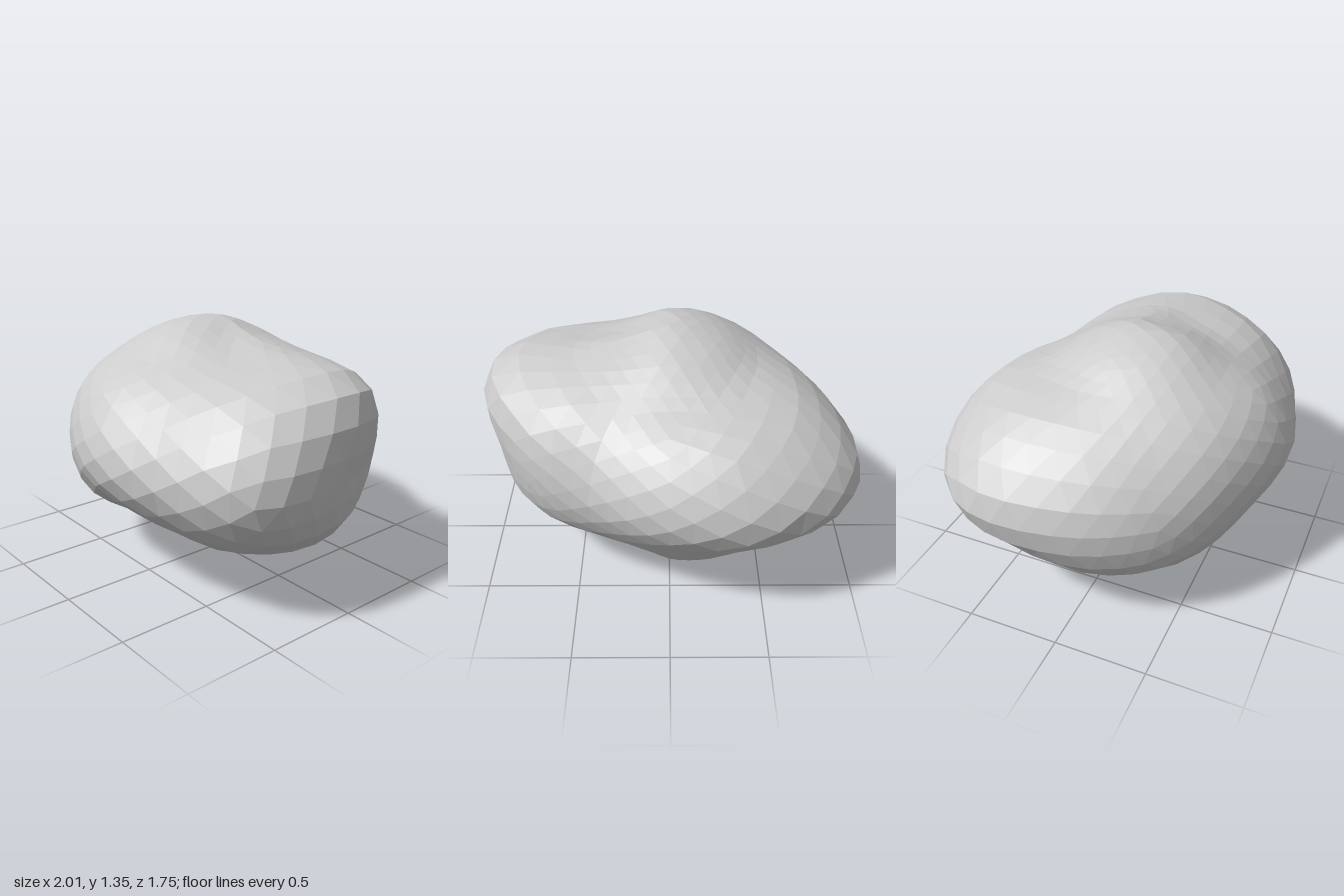
import * as THREE from 'three';

// Distance from the rock's core to its surface. Rows climb in 22.5 degree steps
// from straight down to straight up; columns turn in 30 degree steps from +x to +z.
const RADII = [
  [0.66],
  [0.55, 0.54, 0.55, 0.57, 0.60, 0.65, 0.68, 0.725, 0.745, 0.725, 0.66, 0.58],
  [0.62, 0.60, 0.57, 0.58, 0.62, 0.68, 0.71, 0.74, 0.74, 0.70, 0.63, 0.60],
  [0.91, 0.91, 0.77, 0.71, 0.79, 0.86, 0.89, 0.86, 0.80, 0.73, 0.71, 0.80],
  [0.955, 1.10, 0.93, 0.865, 0.82, 0.87, 0.97, 1.08, 0.98, 0.835, 0.76, 0.86],
  [1.03, 0.97, 0.82, 0.82, 0.80, 0.77, 0.82, 0.89, 0.85, 0.76, 0.71, 0.88],
  [0.735, 0.69, 0.68, 0.70, 0.71, 0.69, 0.67, 0.66, 0.64, 0.61, 0.62, 0.69],
  [0.63, 0.62, 0.645, 0.675, 0.675, 0.66, 0.645, 0.63, 0.615, 0.61, 0.61, 0.61],
  [0.65],
];
const CORE_HEIGHT = 0.7;

function spline(a, b, c, d, t) {
  return b + 0.5 * t * (c - a + t * (2 * a - 5 * b + 4 * c - d + t * (3 * (b - c) + d - a)));
}

// Radius on one row; rows past a pole continue down the opposite side
function rowRadius(row, turn) {
  if (row < 0) return rowRadius(-row, turn + 6);
  if (row > 8) return rowRadius(16 - row, turn + 6);
  const r = RADII[row], n = r.length;
  const i = Math.floor(turn), at = (k) => r[(((i + k) % n) + n) % n];
  return spline(at(-1), at(0), at(1), at(2), turn - i);
}

function radius(dir) {
  const turn = Math.atan2(dir.z, dir.x) / (Math.PI / 6);
  const level = Math.asin(THREE.MathUtils.clamp(dir.y, -1, 1)) / (Math.PI / 8) + 4;
  const i = Math.min(7, Math.floor(level));
  const [a, b, c, d] = [-1, 0, 1, 2].map((k) => rowRadius(i + k, turn));
  return spline(a, b, c, d, level - i);
}

export function createModel() {
  // Faceted boulder: a geodesic ball pushed in and out along its radii
  const geometry = new THREE.IcosahedronGeometry(1, 7);
  const pos = geometry.attributes.position;
  const v = new THREE.Vector3();
  for (let i = 0; i < pos.count; i++) {
    v.fromBufferAttribute(pos, i).normalize();
    v.multiplyScalar(radius(v));
    pos.setXYZ(i, v.x, v.y + CORE_HEIGHT, v.z);
  }
  geometry.computeVertexNormals();

  const boulder = new THREE.Mesh(
    geometry,
    new THREE.MeshStandardMaterial({ color: 0xcccccc, flatShading: true }),
  );
  boulder.name = 'boulder';

  const group = new THREE.Group();
  group.name = 'rock';
  group.add(boulder);
  return group;
}
